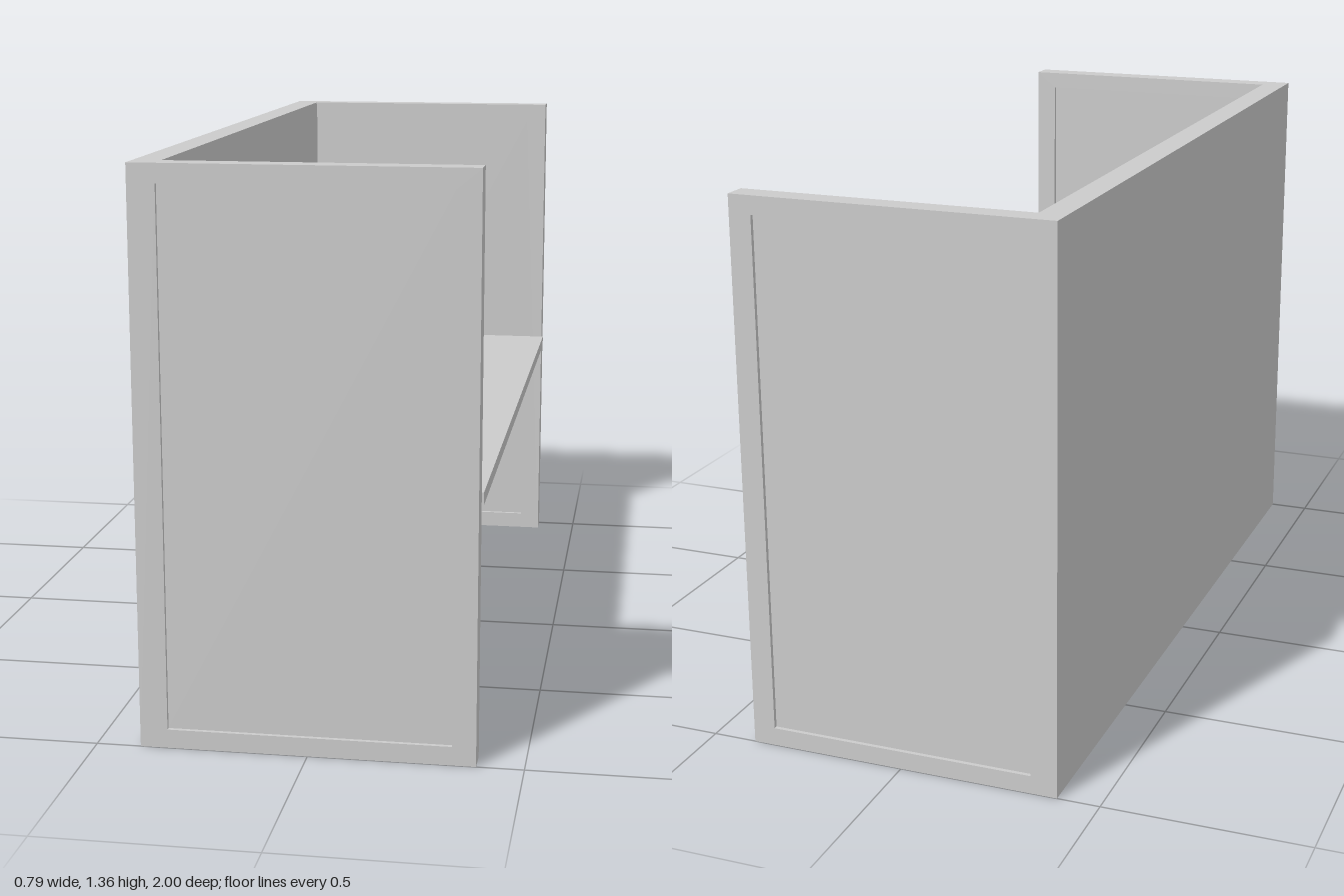
import * as THREE from 'three';

const material = new THREE.MeshStandardMaterial({ color: 0xcccccc, flatShading: true });

const HEIGHT = 1.36, BACK = -0.395, FRONT = 0.39, INNER_BACK = -0.33;
const HALF_LENGTH = 1, WALL = 0.06, INSIDE = HALF_LENGTH - WALL;

// Box given by its minimum and maximum corners
function slab(name, [x0, y0, z0], [x1, y1, z1]) {
  const geometry = new THREE.BoxGeometry(x1 - x0, y1 - y0, z1 - z0);
  geometry.translate((x0 + x1) / 2, (y0 + y1) / 2, (z0 + z1) / 2);
  const mesh = new THREE.Mesh(geometry, material);
  mesh.name = name;
  return mesh;
}

function rectangle(Type, x0, y0, x1, y1) {
  const path = new Type();
  path.moveTo(x0, y0).lineTo(x1, y0).lineTo(x1, y1).lineTo(x0, y1).closePath();
  return path;
}

// End wall: a raised frame around a panel recessed on both faces
function endWall(name, z0) {
  const hole = [INNER_BACK, 0.045, 0.335, 1.315];
  const recess = 0.01;
  const shape = rectangle(THREE.Shape, BACK, 0, FRONT, HEIGHT);
  shape.holes.push(rectangle(THREE.Path, ...hole));
  const frame = new THREE.Mesh(
    new THREE.ExtrudeGeometry(shape, { depth: WALL, bevelEnabled: false }), material);
  frame.name = 'endFrame';
  frame.position.z = z0;

  const [x0, y0, x1, y1] = hole;
  const group = new THREE.Group();
  group.name = name;
  group.add(frame, slab('endPanel', [x0, y0, z0 + recess], [x1, y1, z0 + WALL - recess]));
  return group;
}

export function createModel() {
  const model = new THREE.Group();
  model.name = 'deskBooth';
  model.add(
    endWall('frontEndWall', INSIDE),
    endWall('rearEndWall', -HALF_LENGTH),
    slab('longWall', [BACK, 0, -INSIDE], [INNER_BACK, HEIGHT, INSIDE]),
    // Worktop spanning the end walls, just proud of their open edges
    slab('worktop', [INNER_BACK, 0.6, -INSIDE], [0.395, 0.63, INSIDE]),
  );
  return model;
}
